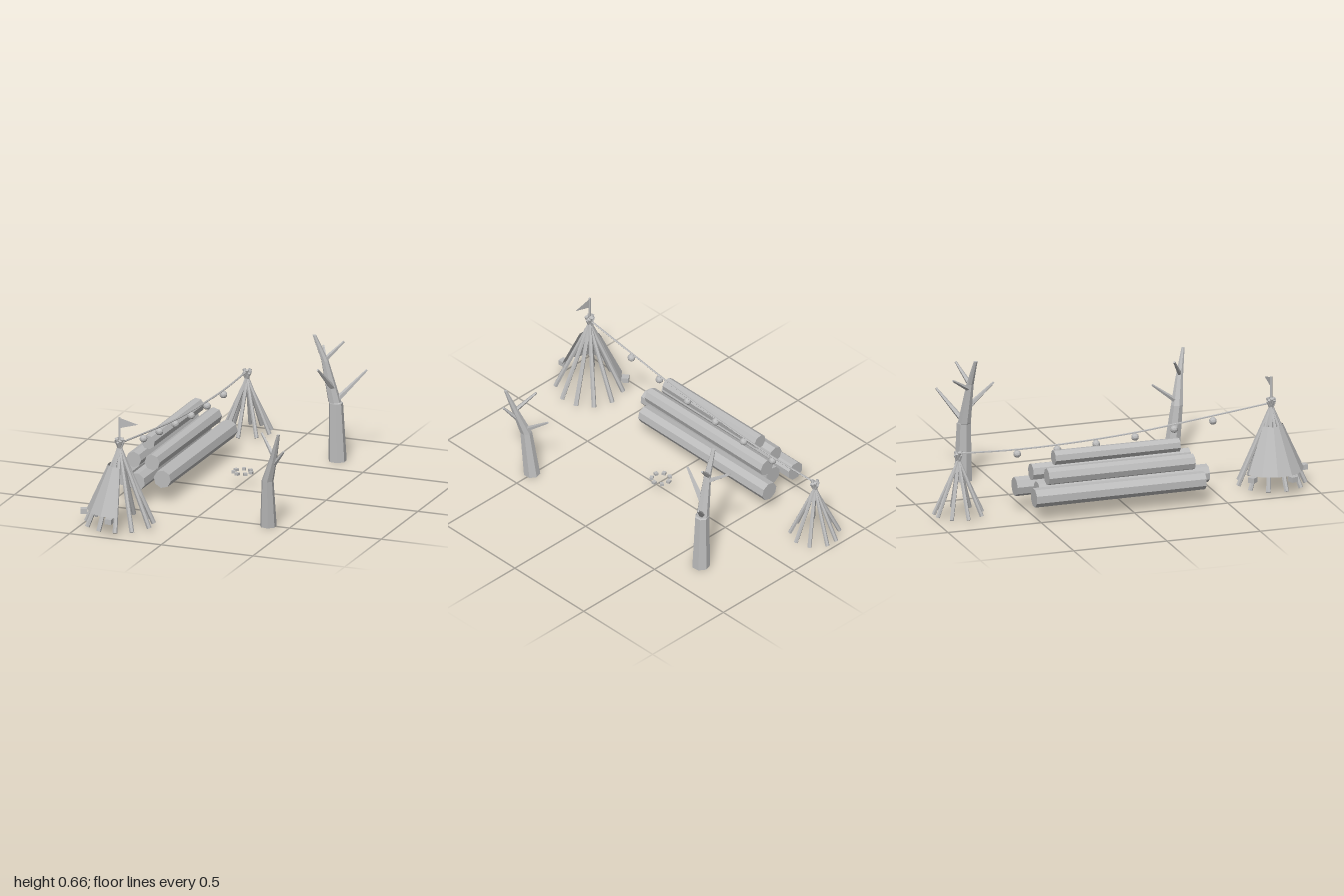
import * as THREE from 'three';

export function createModel() {
  const root = new THREE.Group();
  const grey = new THREE.MeshStandardMaterial({ color: 0xbcbcbc, flatShading: true });
  grey.name = 'plain grey';
  const greySheet = grey.clone();
  greySheet.name = 'plain grey sheet';
  greySheet.side = THREE.DoubleSide;
  const rad = THREE.MathUtils.degToRad;
  const V = (p) => new THREE.Vector3(...p);

  function add(parent, name, geo, pos = [0, 0, 0], mat = grey) {
    const mesh = new THREE.Mesh(geo, mat);
    mesh.name = name;
    mesh.position.set(...pos);
    parent.add(mesh);
    return mesh;
  }
  function group(name) {
    const g = new THREE.Group();
    g.name = name;
    root.add(g);
    return g;
  }
  // Tapered rod from point a to point b
  function rod(parent, name, a, b, ra, rb, sides) {
    const dir = V(b).sub(V(a));
    const mesh = add(parent, name, new THREE.CylinderGeometry(rb, ra, dir.length(), sides));
    mesh.position.copy(V(a)).addScaledVector(dir, 0.5);
    mesh.quaternion.setFromUnitVectors(new THREE.Vector3(0, 1, 0), dir.normalize());
  }
  // Poles leaning together and crossing just under their tops
  function poleCone(name, x, z, angles, footR, topY, r) {
    const g = group(name);
    angles.forEach((deg, i) => {
      const c = Math.cos(rad(deg)), s = Math.sin(rad(deg));
      const top = topY - (i % 3) * 0.008;
      rod(g, 'pole', [x + footR * c, 0.023, z + footR * s],
        [x - 0.018 * c, top, z - 0.018 * s], r, r * 0.8, 6);
    });
    return g;
  }

  // Front shelter: poles, cloth, weights and pennant
  const tx = -0.307, tz = 0.8;
  const shelter = poleCone('frontShelter', tx, tz,
    [8, 47, 76, 106, 139, 172, 204, 237, 273, 307, 338], 0.173, 0.474, 0.0125);
  add(shelter, 'cloth', new THREE.CylinderGeometry(0.06, 0.166, 0.235, 6, 1, true, rad(-153), rad(167)),
    [tx, 0.2175, tz], greySheet);
  for (const [deg, r] of [[230, 0.182], [161, 0.18], [86, 0.178]]) {
    const a = rad(deg);
    add(shelter, 'clothWeight', new THREE.BoxGeometry(0.036, 0.027, 0.036),
      [tx + r * Math.cos(a), 0.087, tz + r * Math.sin(a)]).rotation.y = -a;
  }
  rod(shelter, 'flagPole', [tx, 0.42, tz], [tx, 0.586, tz], 0.006, 0.006, 6);
  const pennant = new THREE.Shape([
    new THREE.Vector2(0, 0.582), new THREE.Vector2(0, 0.527), new THREE.Vector2(0.102, 0.557)]);
  add(shelter, 'pennant', new THREE.ShapeGeometry(pennant), [tx, 0, tz], greySheet);

  // Rear pole frame
  poleCone('rearPoleFrame', -0.277, -0.866,
    [4, 46, 90, 130, 175, 215, 256, 284, 327], 0.126, 0.352, 0.011);

  // Sagging rope with hanging bulbs
  const line = group('bulbLine');
  const rope = new THREE.CatmullRomCurve3([
    [-0.307, 0.447, 0.8], [-0.3, 0.403, 0.45], [-0.293, 0.36, 0.08],
    [-0.287, 0.337, -0.3], [-0.281, 0.332, -0.58], [-0.277, 0.342, -0.866]].map(V));
  add(line, 'rope', new THREE.TubeGeometry(rope, 20, 0.005, 5));
  const bulbs = [[0.49, 0.381], [0.283, 0.358], [0.075, 0.337], [-0.132, 0.321], [-0.34, 0.311], [-0.553, 0.309]];
  for (const [z, y] of bulbs)
    add(line, 'bulb', new THREE.IcosahedronGeometry(0.02, 1), [-0.293 + 0.018 * (0.08 - z), y, z]);

  // Log pile, each log slightly slimmer at the front: x, y, radius, back z, front z
  const pile = group('logPile');
  const logs = [
    [-0.468, 0.128, 0.05, -0.528, 0.383], [-0.36, 0.128, 0.05, -0.475, 0.438],
    [-0.255, 0.128, 0.05, -0.558, 0.348], [-0.412, 0.214, 0.044, -0.44, 0.345],
    [-0.306, 0.214, 0.044, -0.488, 0.358], [-0.357, 0.294, 0.039, -0.385, 0.286]];
  logs.forEach(([x, y, r, z0, z1], i) => {
    const geo = new THREE.CylinderGeometry(r * 0.94, r, z1 - z0, 8);
    geo.rotateY(rad(22.5 + i * 7)).rotateX(Math.PI / 2);
    add(pile, 'log', geo, [x, y, (z0 + z1) / 2]);
  });

  // Small ring of stones
  const ring = group('stoneRing');
  for (let i = 0; i < 7; i++) {
    const a = (i / 7) * Math.PI * 2;
    add(ring, 'stone', new THREE.BoxGeometry(0.019, 0.013, 0.019),
      [0.022 + 0.047 * Math.cos(a), 0.0825, -0.055 + 0.047 * Math.sin(a)]).rotation.y = -a;
  }

  // Bare trees: trunk lofted through level rings [x, y, z, radius], plus branches
  function tree(name, rings, branches) {
    const g = group(name), n = 7, pos = [], idx = [];
    for (const [x, y, z, r] of rings)
      for (let i = 0; i < n; i++) {
        const a = (i / n) * Math.PI * 2 + 0.3;
        pos.push(x + r * Math.sin(a), y, z + r * Math.cos(a));
      }
    for (let k = 0; k < rings.length - 1; k++)
      for (let i = 0; i < n; i++) {
        const a = k * n + i, b = k * n + (i + 1) % n;
        idx.push(a, b, b + n, a, b + n, a + n);
      }
    const last = (rings.length - 1) * n;
    for (let i = 1; i < n - 1; i++) idx.push(0, i + 1, i, last, last + i, last + i + 1);
    const geo = new THREE.BufferGeometry();
    geo.setAttribute('position', new THREE.Float32BufferAttribute(pos, 3));
    geo.setIndex(idx);
    geo.computeVertexNormals();
    add(g, 'trunk', geo);
    for (const [a, b, r] of branches) rod(g, 'branch', a, b, r, 0.006, 5);
  }
  tree('rearTree',
    [[0.307, 0.003, -0.638, 0.047], [0.298, 0.31, -0.637, 0.037], [0.292, 0.314, -0.636, 0.034],
      [0.245, 0.53, -0.622, 0.019], [0.191, 0.664, -0.611, 0.01]],
    [[[0.285, 0.39, -0.625], [0.258, 0.522, -0.49], 0.016],
      [[0.3, 0.32, -0.64], [0.426, 0.467, -0.742], 0.016],
      [[0.24, 0.53, -0.625], [0.33, 0.628, -0.67], 0.014],
      [[0.25, 0.5, -0.625], [0.193, 0.573, -0.732], 0.013]]);
  tree('frontTree',
    [[0.387, 0.003, 0.507, 0.043], [0.396, 0.255, 0.54, 0.031],
      [0.437, 0.38, 0.566, 0.02], [0.48, 0.526, 0.602, 0.008]],
    [[[0.4, 0.27, 0.54], [0.378, 0.378, 0.4], 0.014],
      [[0.44, 0.4, 0.57], [0.352, 0.495, 0.51], 0.012],
      [[0.442, 0.355, 0.562], [0.505, 0.435, 0.592], 0.012]]);

  return root;
}
